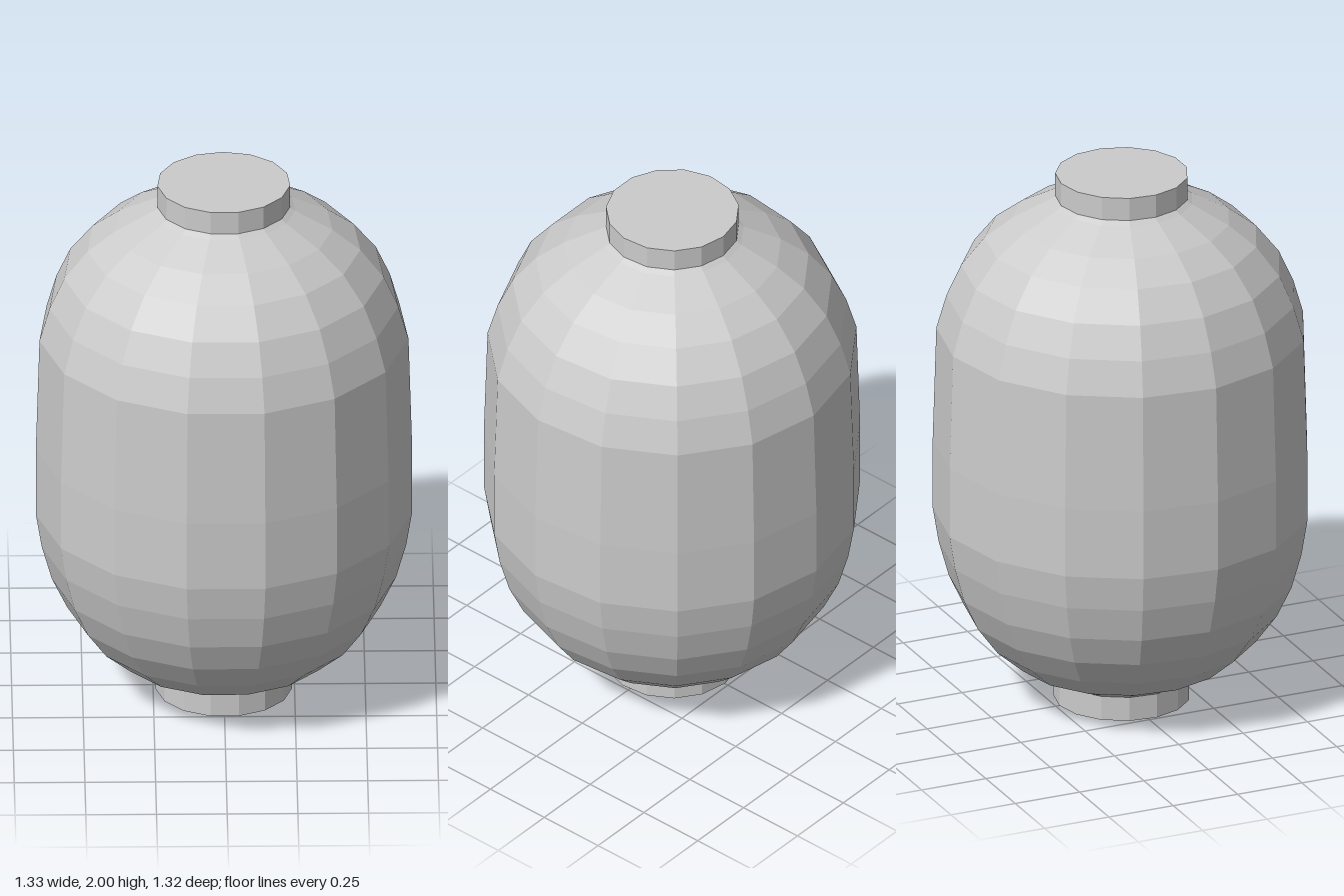
import * as THREE from 'three';

const SIDES = 15;
const material = new THREE.MeshStandardMaterial({ color: 0xcccccc, flatShading: true });

// Faceted turned part; profile is [radius, height] from bottom to top
function turned(name, profile) {
  const points = profile.map(([r, y]) => new THREE.Vector2(r, y));
  const mesh = new THREE.Mesh(new THREE.LatheGeometry(points, SIDES, Math.PI), material);
  mesh.name = name;
  mesh.position.z = 0.007; // odd number of sides: centre the depth
  return mesh;
}

// Short solid ring with flat ends
const collar = (name, r, y0, y1) => turned(name, [[0, y0], [r, y0], [r, y1], [0, y1]]);

export function createModel() {
  const group = new THREE.Group();
  group.name = 'paperLantern';

  // Rounded shade, widest just below the middle
  group.add(turned('shade', [
    [0.236, 0.085], [0.258, 0.1], [0.383, 0.155], [0.483, 0.242], [0.558, 0.345],
    [0.612, 0.46], [0.648, 0.59], [0.669, 0.72], [0.669, 0.98], [0.656, 1.41],
    [0.62, 1.535], [0.568, 1.65], [0.485, 1.755], [0.386, 1.83], [0.254, 1.9], [0.23, 1.916],
  ]));

  // Top and bottom collars
  group.add(collar('topCollar', 0.236, 1.915, 2));
  group.add(collar('bottomCollar', 0.243, 0, 0.092));
  return group;
}
